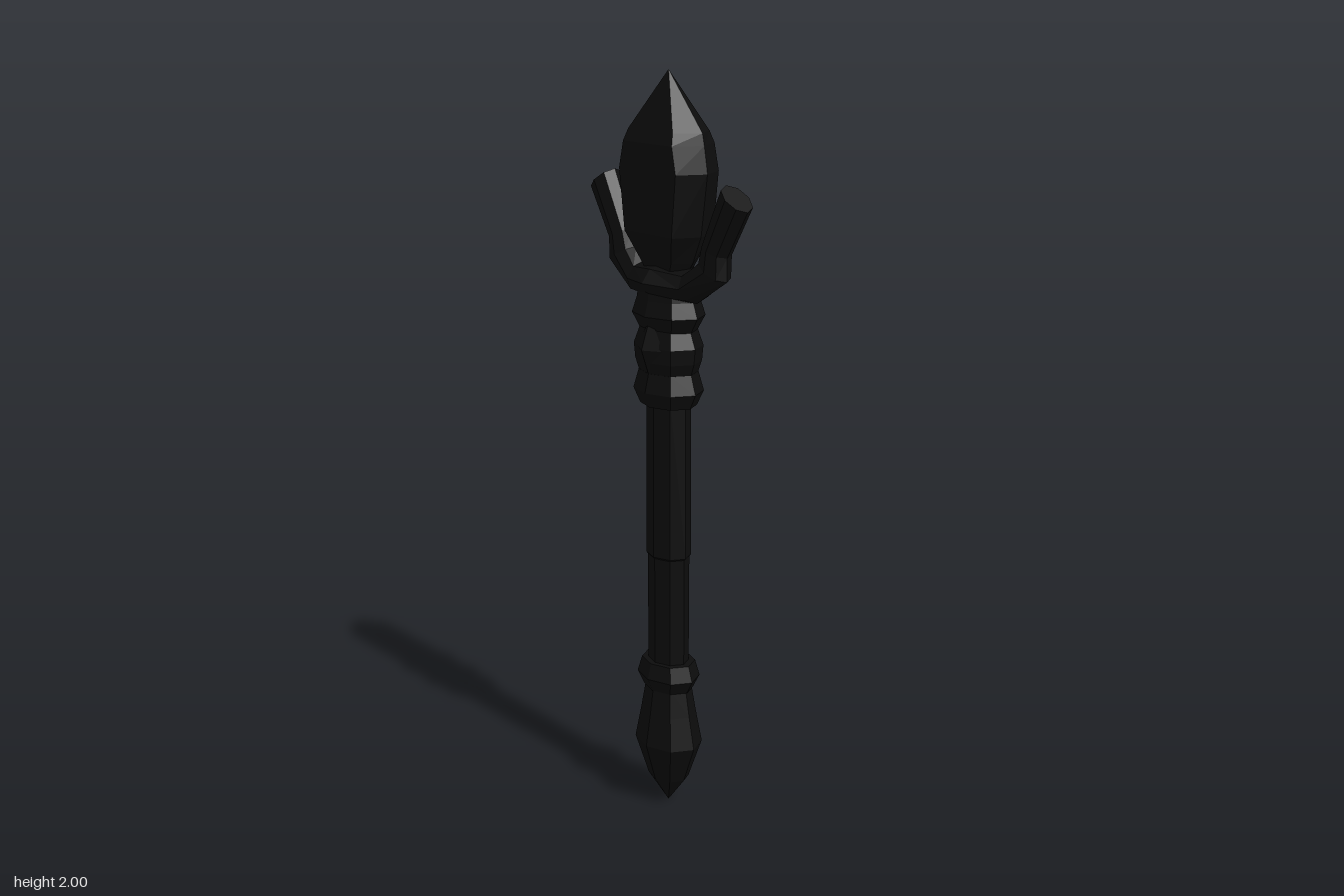
import * as THREE from 'three';

const material = new THREE.MeshStandardMaterial({ color: 0x0c0c0c, flatShading: true });
const DEPTH = 0.78; // the handle is flatter from front to back

function addMesh(group, name, geometry) {
  const flat = geometry.index ? geometry.toNonIndexed() : geometry;
  flat.computeVertexNormals();
  const mesh = new THREE.Mesh(flat, material);
  mesh.name = name;
  group.add(mesh);
  return mesh;
}

// Eight-sided turned part; profile is [radius, y] from bottom to top
function turned(group, name, profile, depth = DEPTH) {
  const points = profile.map(([r, y]) => new THREE.Vector2(r, y));
  const geometry = new THREE.LatheGeometry(points, 8);
  geometry.scale(1, 1, depth);
  return addMesh(group, name, geometry);
}

// Skin over closed rings of [x, y, z], with both ends capped
function loft(rings) {
  const n = rings[0].length;
  const index = [];
  for (let j = 0; j < rings.length - 1; j++) {
    for (let i = 0; i < n; i++) {
      const a = j * n + i, b = j * n + (i + 1) % n;
      index.push(a, b, b + n, a, b + n, a + n);
    }
  }
  const last = (rings.length - 1) * n;
  for (let i = 1; i < n - 1; i++) {
    index.push(0, i + 1, i, last, last + i, last + i + 1);
  }
  const geometry = new THREE.BufferGeometry();
  geometry.setAttribute('position', new THREE.Float32BufferAttribute(rings.flat(2), 3));
  geometry.setIndex(index);
  return geometry;
}

export function createModel() {
  const group = new THREE.Group();

  // Pointed pommel, lower ring and grip
  turned(group, 'pommel', [[0, 0], [0.063, 0.08], [0.104, 0.19], [0.085, 0.28], [0.07, 0.36], [0, 0.36]]);
  turned(group, 'lowerRing', [[0, 0.35], [0.076, 0.35], [0.096, 0.387], [0.082, 0.43], [0, 0.43]]);
  turned(group, 'shaft', [[0.062, 0.4], [0.063, 0.73], [0.068, 0.735], [0.066, 1.18]]);

  // Neck: ring, bulb, ring
  turned(group, 'middleRing', [[0, 1.15], [0.084, 1.15], [0.104, 1.19], [0.088, 1.24], [0, 1.24]]);
  turned(group, 'neckBulb', [[0.08, 1.22], [0.098, 1.27], [0.102, 1.31], [0.082, 1.36]]);
  turned(group, 'upperRing', [[0, 1.34], [0.08, 1.34], [0.11, 1.39], [0.095, 1.43], [0.09, 1.46], [0, 1.46]], 0.74);

  // Small faceted gems on the front and back of the neck
  for (const side of [1, -1]) {
    const geometry = new THREE.OctahedronGeometry(1, 0);
    geometry.scale(0.05, 0.085, 0.03);
    const gem = addMesh(group, side > 0 ? 'frontGem' : 'backGem', geometry);
    gem.position.set(0, 1.305, side * 0.062);
  }

  // Forked cradle: [outer x, outer y, inner x, inner y, half depth], mirrored
  const half = [
    [0, 1.43, 0, 1.525, 0.09],
    [0.108, 1.43, 0.09, 1.515, 0.055],
    [0.217, 1.5, 0.127, 1.545, 0.037],
    [0.217, 1.56, 0.142, 1.59, 0.037],
    [0.287, 1.68, 0.211, 1.738, 0.04],
  ];
  const mirrored = half.slice(1).reverse().map(([ox, oy, ix, iy, d]) => [-ox, oy, -ix, iy, d]);
  const cradle = [...mirrored, ...half].map(([ox, oy, ix, iy, d]) =>
    Array.from({ length: 8 }, (_, i) => {
      const a = (i / 8) * Math.PI * 2;
      const t = (1 + Math.cos(a)) / 2;
      return [ox + (ix - ox) * t, oy + (iy - oy) * t, d * Math.sin(a)];
    }));
  addMesh(group, 'cradle', loft(cradle));

  // Flat-faced crystal: [y, edge half width, face half width, half depth]
  const levels = [
    [1.47, 0.05, 0.03, 0.03],
    [1.53, 0.092, 0.06, 0.045],
    [1.6, 0.122, 0.09, 0.07],
    [1.757, 0.144, 0.107, 0.072],
    [1.825, 0.132, 0.092, 0.071],
    [1.855, 0.125, 0.084, 0.061],
    [2, 0.001, 0.0006, 0.0005],
  ];
  const crystal = levels.map(([y, w, f, d]) => [
    [w, y, 0], [f, y, -d], [-f, y, -d], [-w, y, 0], [-f, y, d], [f, y, d],
  ]);
  addMesh(group, 'crystal', loft(crystal));

  return group;
}
